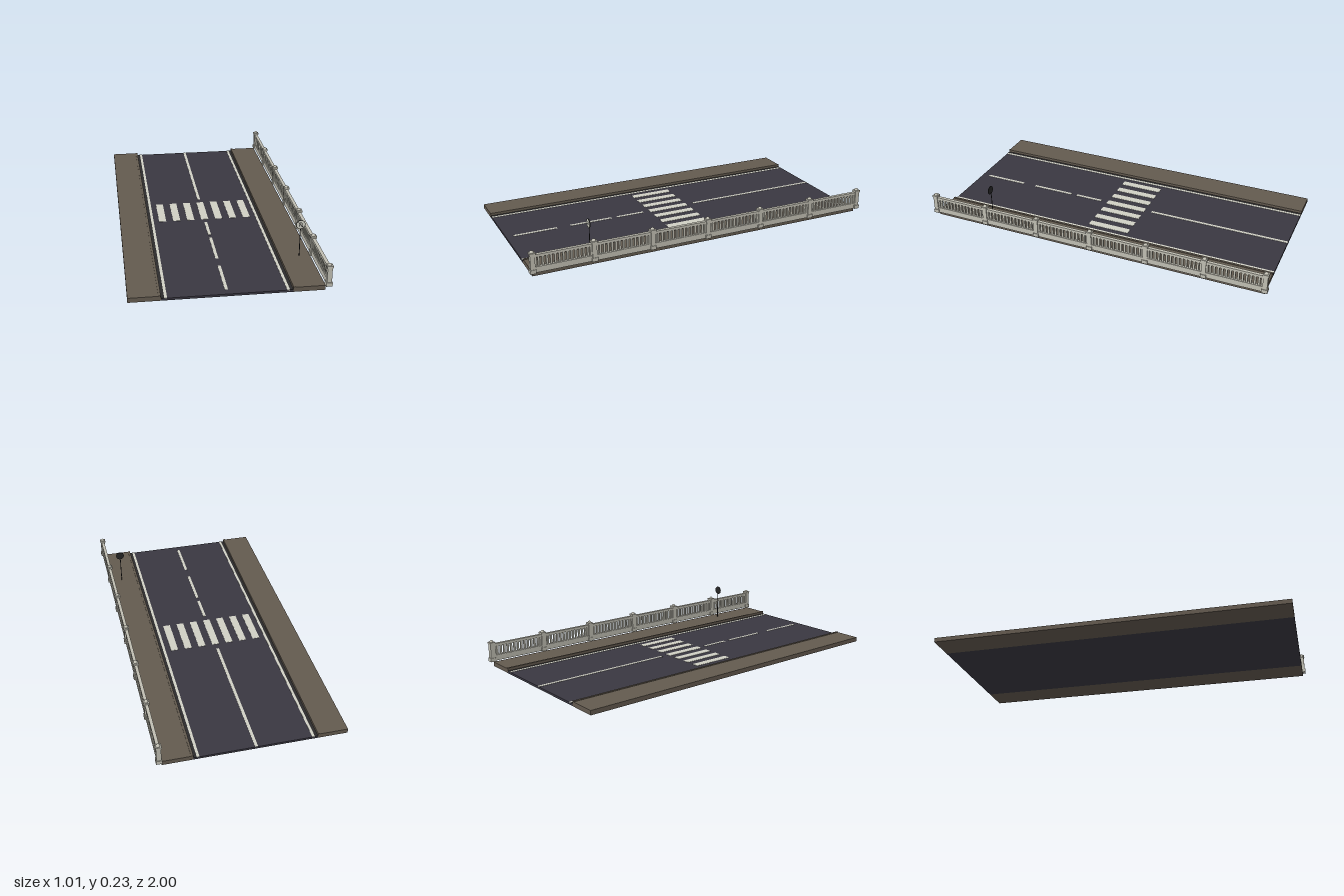
import * as THREE from 'three';

const mat = (name, color) => {
  const m = new THREE.MeshStandardMaterial({ color });
  m.name = name;
  return m;
};

export function createModel() {
  const model = new THREE.Group();
  model.name = 'roadSection';

  const asphalt = mat('asphalt', 0x393741);
  const pavement = mat('pavementBrown', 0x635a4f);
  const gutterDark = mat('gutterDark', 0x2b2a2b);
  const paint = mat('roadPaint', 0xd0d0c4);
  const stone = mat('fenceStone', 0xc0beb2);
  const black = mat('signBlack', 0x262626);

  const add = (parent, name, geometry, material, x = 0, y = 0, z = 0) => {
    const mesh = new THREE.Mesh(geometry, material);
    mesh.name = name;
    mesh.position.set(x, y, z);
    parent.add(mesh);
    return mesh;
  };
  // Box given by its minimum and maximum on each axis
  const span = (parent, name, material, x0, x1, y0, y1, z0, z1) =>
    add(parent, name, new THREE.BoxGeometry(x1 - x0, y1 - y0, z1 - z0), material,
      (x0 + x1) / 2, (y0 + y1) / 2, (z0 + z1) / 2);

  const cx = -0.015; // road centre line
  const end = 0.983; // half length of the road
  const top = 0.012; // road surface height

  // Carriageway
  span(model, 'road', asphalt, cx - 0.328, cx + 0.328, 0, top, -end, end);

  // Pavements, kerbs, gutters and edge lines on both sides
  for (const s of [-1, 1]) {
    const strip = (name, material, a, b, y0, y1) =>
      span(model, name, material, cx + Math.min(s * a, s * b), cx + Math.max(s * a, s * b), y0, y1, -end, end);
    strip('pavement', pavement, 0.338, 0.49, 0, 0.025);
    strip('kerb', pavement, 0.328, 0.34, 0, 0.028);
    strip('gutter', gutterDark, 0.311, 0.328, top - 0.002, top + 0.001);
    strip('edgeLine', paint, 0.297, 0.311, top - 0.002, top + 0.0015);
  }

  // Centre line: one long stretch, then dashes
  for (const [z0, z1] of [[-end, -0.165], [0.16, 0.325], [0.36, 0.61], [0.69, 0.94]])
    span(model, 'centreLine', paint, cx - 0.008, cx + 0.008, top - 0.002, top + 0.0015, z0, z1);

  // Pedestrian crossing
  for (let i = -3; i <= 3; i++) {
    const x = cx + i * 0.0818;
    span(model, 'crossingStripe', paint, x - 0.0205, x + 0.0205, top - 0.002, top + 0.0015, -0.123, 0.12);
  }

  // Balustrade along the left pavement
  const fence = new THREE.Group();
  fence.name = 'balustrade';
  fence.position.x = 0.489;
  model.add(fence);

  const step = 0.328;
  const block = (parent, name, w, y0, y1) =>
    span(parent, name, stone, -w / 2, w / 2, y0, y1, -w / 2, w / 2);
  for (let i = -3; i <= 3; i++) {
    const post = new THREE.Group();
    post.name = 'fencePost';
    post.position.z = i * step;
    block(post, 'postBase', 0.032, 0.026, 0.047);
    block(post, 'postShaft', 0.025, 0.047, 0.127);
    block(post, 'postCollar', 0.028, 0.124, 0.129);
    block(post, 'postCap', 0.032, 0.129, 0.138);
    const dome = add(post, 'postDome',
      new THREE.SphereGeometry(0.0115, 12, 5, 0, Math.PI * 2, 0, Math.PI / 2), stone, 0, 0.138, 0);
    dome.scale.y = 0.95;
    fence.add(post);
  }

  const bars = 13;
  for (let i = -3; i < 3; i++) {
    const z0 = i * step + 0.011;
    const z1 = (i + 1) * step - 0.011;
    span(fence, 'plinth', stone, -0.009, 0.009, 0.028, 0.06, z0, z1);
    span(fence, 'topRail', stone, -0.009, 0.009, 0.112, 0.127, z0, z1);
    // End panels beside the posts, then evenly spaced balusters
    span(fence, 'endPanel', stone, -0.006, 0.006, 0.058, 0.114, z0, z0 + 0.012);
    span(fence, 'endPanel', stone, -0.006, 0.006, 0.058, 0.114, z1 - 0.012, z1);
    const a = z0 + 0.012, pitch = (z1 - z0 - 0.024) / bars;
    for (let k = 0; k < bars; k++) {
      const z = a + (k + 0.5) * pitch;
      span(fence, 'baluster', stone, -0.005, 0.005, 0.058, 0.114, z - 0.0055, z + 0.0055);
    }
  }

  // Round road sign on a thin pole
  const sign = new THREE.Group();
  sign.name = 'roadSign';
  sign.position.set(0.418, 0, 0.653);
  model.add(sign);
  add(sign, 'signPole', new THREE.CylinderGeometry(0.0022, 0.0022, 0.165, 8), black, 0, 0.1075, 0);

  const plate = new THREE.Group();
  plate.name = 'signPlate';
  plate.position.set(0, 0.207, 0.003);
  sign.add(plate);
  const disc = new THREE.CylinderGeometry(0.0245, 0.0245, 0.004, 28).rotateX(Math.PI / 2);
  add(plate, 'signBack', disc, black);
  add(plate, 'signFace', new THREE.CircleGeometry(0.0225, 28), paint, 0, 0, 0.0023);

  // Turn arrow crossed by a diagonal bar
  const z = 0.0028;
  const arch = new THREE.RingGeometry(0.005, 0.0085, 16, 1, 0, Math.PI);
  add(plate, 'arrowArch', arch, black, 0, 0.004, z);
  add(plate, 'arrowStem', new THREE.PlaneGeometry(0.0035, 0.017), black, 0.00675, -0.0045, z);
  add(plate, 'arrowLeg', new THREE.PlaneGeometry(0.0035, 0.008), black, -0.00675, 0, z);
  const head = add(plate, 'arrowHead', new THREE.CircleGeometry(0.006, 3), black, -0.00675, -0.006, z);
  head.rotation.z = -Math.PI / 2;
  const bar = add(plate, 'diagonalBar', new THREE.PlaneGeometry(0.044, 0.0035), black, 0, 0, z + 0.0003);
  bar.rotation.z = -Math.PI / 4;

  return model;
}
